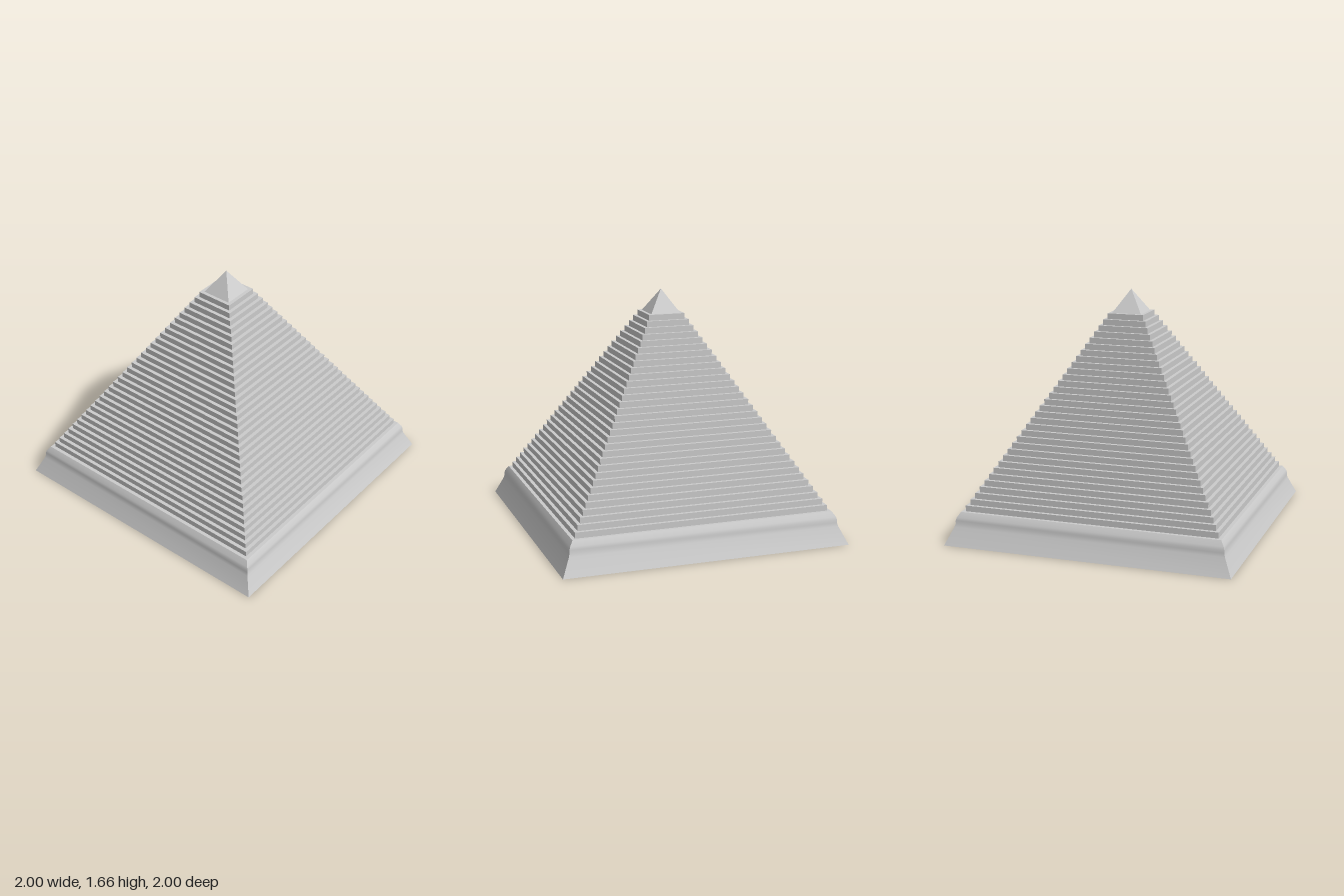
import * as THREE from 'three';
import { toCreasedNormals } from 'three/addons/utils/BufferGeometryUtils.js';

const material = new THREE.MeshStandardMaterial({ color: 0xcccccc, side: THREE.DoubleSide });

// Open square shell swept from a profile of [half width, height] points
function squareShell(name, profile) {
  const points = profile.map(([half, y]) => new THREE.Vector2(half * Math.SQRT2, y));
  const lathe = new THREE.LatheGeometry(points, 4, Math.PI / 4);
  const mesh = new THREE.Mesh(toCreasedNormals(lathe, Math.PI / 5), material);
  mesh.name = name;
  return mesh;
}

export function createModel() {
  const group = new THREE.Group();
  group.name = 'steppedPyramid';

  const baseTop = 0.22, baseHalf = 0.91;
  const stepCount = 32, rise = 0.04, run = 0.0244;

  // Sloping plinth with a rounded shoulder, open underneath
  group.add(squareShell('plinth', [
    [1, 0], [0.945, 0.12], [0.938, 0.145], [0.938, 0.165],
    [0.932, 0.185], [baseHalf, baseTop],
  ]));

  // Hollow staircase: each course is a tread followed by a riser
  const stairs = [[baseHalf, baseTop]];
  for (let i = 0; i < stepCount; i++) {
    const half = baseHalf - run * (i + 1);
    const y = baseTop + rise * i;
    stairs.push([half, y], [half, y + rise]);
  }
  const capBase = baseTop + rise * stepCount;
  const capHalf = baseHalf - run * (stepCount + 1);
  stairs.push([capHalf, capBase]);
  group.add(squareShell('steps', stairs));

  // Smooth pointed capstone
  const capHeight = 0.16;
  const cone = new THREE.ConeGeometry(capHalf * Math.SQRT2, capHeight, 4, 1, true, Math.PI / 4);
  const cap = new THREE.Mesh(toCreasedNormals(cone, Math.PI / 5), material);
  cap.name = 'capstone';
  cap.position.y = capBase + capHeight / 2;
  group.add(cap);

  return group;
}
